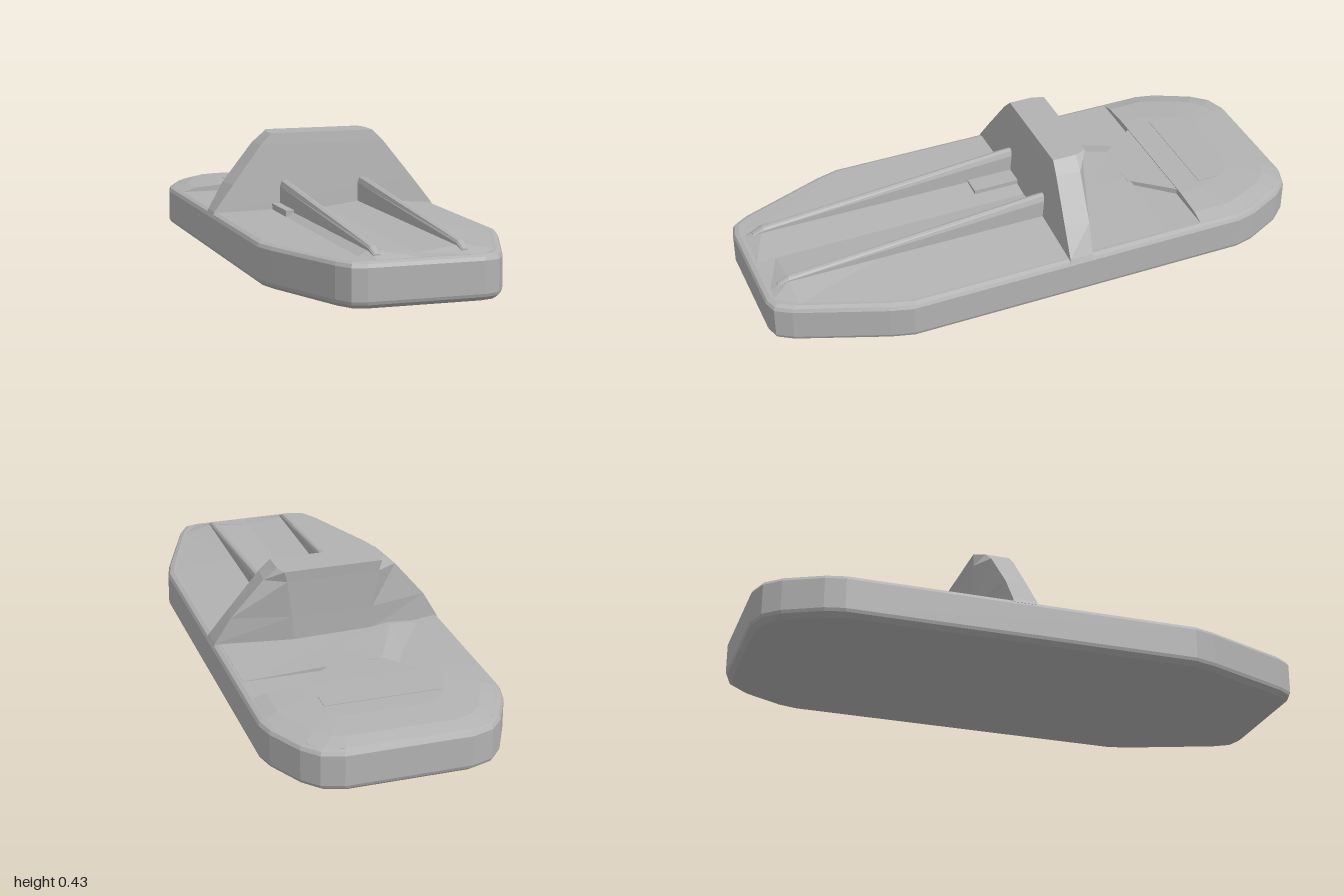
import * as THREE from 'three';

const grey = new THREE.MeshStandardMaterial({ color: 0xb2b2b2, side: THREE.DoubleSide });
grey.name = 'plain grey';

function facets(tris, name) {
  const geo = new THREE.BufferGeometry();
  geo.setAttribute('position', new THREE.Float32BufferAttribute(tris.flat(), 3));
  geo.computeVertexNormals();
  const mesh = new THREE.Mesh(geo, grey);
  mesh.name = name;
  return mesh;
}

// Closed solid through rings of [x, y, z], bottom ring first
function loft(rings, name) {
  const tris = [];
  const n = rings[0].length;
  const mid = r => [0, 1, 2].map(k => r.reduce((s, p) => s + p[k], 0) / n);
  const top = rings[rings.length - 1];
  for (let i = 0; i < n; i++) {
    const j = (i + 1) % n;
    for (let k = 0; k + 1 < rings.length; k++) {
      const a = rings[k], b = rings[k + 1];
      tris.push(a[i], a[j], b[j], a[i], b[j], b[i]);
    }
    tris.push(mid(rings[0]), rings[0][j], rings[0][i], mid(top), top[i], top[j]);
  }
  return facets(tris, name);
}

// Open surface across rows of points
function sheet(rows, name) {
  const tris = [];
  for (let r = 0; r + 1 < rows.length; r++) {
    for (let i = 0; i + 1 < rows[r].length; i++) {
      const a = rows[r][i], b = rows[r][i + 1], c = rows[r + 1][i + 1], d = rows[r + 1][i];
      tris.push(a, d, c, a, c, b);
    }
  }
  return facets(tris, name);
}

// Mirrors a half outline of [x, z], running front to back on +x
const mirror = half => [...half, ...half.map(([x, z]) => [-x, z]).reverse()];

export function createModel() {
  const model = new THREE.Group();
  model.name = 'model';

  // Hull with bevelled top and bottom edges
  const outline = mirror([[0.2, 1], [0.25, 0.985], [0.285, 0.93], [0.405, 0.62], [0.427, 0.54],
    [0.427, -0.72], [0.41, -0.79], [0.345, -0.92], [0.295, -0.975], [0.22, -1]]);
  const hullRing = (y, d) => outline.map(([x, z]) => [x * (1 - d / 0.427), y, z * (1 - d)]);
  model.add(loft([hullRing(0, 0.022), hullRing(0.014, 0.004), hullRing(0.025, 0),
    hullRing(0.133, 0), hullRing(0.145, 0.006), hullRing(0.151, 0.02)], 'hull'));

  // Front deck: a shallow valley between the rails, sloping out to the sides
  const deckRow = (z, w, lift) => [[-w, 0], [-0.2, 0.003], [-0.16, 0.02], [0, 0.003], [0.16, 0.022], [w, 0]]
    .map(([x, h]) => [x, 0.1505 + h * lift, z]);
  model.add(sheet([deckRow(-0.06, 0.405, 1), deckRow(0.55, 0.4, 1), deckRow(0.9, 0.27, 1),
    deckRow(0.97, 0.21, 0)], 'frontDeck'));

  // Rear crown, highest at z = -0.7
  const crown = mirror([[0.405, -0.57], [0.405, -0.72], [0.385, -0.78], [0.325, -0.91],
    [0.275, -0.96], [0.21, -0.98]]);
  const crownRing = (y, s) => crown.map(([x, z]) => [x * s, y, -0.57 + (z + 0.57) * s]);
  model.add(loft([crownRing(0.14, 1), crownRing(0.151, 1), crownRing(0.166, 0.88),
    crownRing(0.175, 0.6)], 'rearCrown'));
  const plate = new THREE.Mesh(new THREE.BoxGeometry(0.41, 0.006, 0.07), grey);
  plate.name = 'crownPlate';
  plate.position.set(0, 0.174, -0.7);
  model.add(plate);

  // Raised middle deck behind the wall, with a tongue back to the crown
  const middle = [[0.4, 0.152, -0.12], [0.4, 0.152, -0.44], [0.09, 0.165, -0.44],
    [-0.1, 0.168, -0.44], [-0.22, 0.168, -0.19], [-0.2, 0.166, -0.12]];
  const foot = middle.map(([x, , z]) => [x, 0.14, z]);
  foot[3] = [-0.18, 0.14, -0.51];
  foot[4] = [-0.4, 0.14, -0.16];
  foot[5] = [-0.4, 0.14, -0.12];
  model.add(loft([foot, middle], 'middleDeck'));
  const tongue = [[0.09, -0.43], [0.22, -0.575], [-0.2, -0.575], [-0.1, -0.43]];
  model.add(loft([tongue.map(([x, z]) => [x, 0.14, z]),
    tongue.map(([x, z]) => [x, z < -0.5 ? 0.172 : 0.166, z])], 'deckTongue'));

  // Upright wall, thick in the middle and thin at its ends
  const wallRing = (y, front, side, back, zFront, zSide, zBack) =>
    mirror([[front, zFront], [side, zSide], [back, zBack]]).map(([x, z]) => [x, y, z]);
  model.add(loft([
    wallRing(0.14, 0.425, 0.425, 0.14, -0.047, -0.135, -0.19),
    wallRing(0.155, 0.418, 0.418, 0.14, -0.049, -0.135, -0.19),
    wallRing(0.25, 0.345, 0.362, 0.15, -0.058, -0.145, -0.195),
    wallRing(0.39, 0.235, 0.245, 0.17, -0.072, -0.16, -0.203),
    wallRing(0.43, 0.195, 0.195, 0.18, -0.077, -0.165, -0.207),
  ], 'wall'));

  // Tapering rails with rounded tops, falling towards the front
  const section = [[-0.02, 0], [-0.019, 0.8], [-0.012, 0.96], [0, 1], [0.012, 0.96], [0.019, 0.8], [0.02, 0]];
  for (const x of [-0.15, 0.15]) {
    const ring = (z, top, w) => section.map(([sx, h]) => [x + sx * w, 0.14 + (top - 0.14) * h, z]);
    model.add(loft([ring(-0.1, 0.262, 1), ring(-0.02, 0.258, 1), ring(0.9, 0.185, 0.8),
      ring(0.94, 0.165, 0.6)], x > 0 ? 'leftRail' : 'rightRail'));
  }

  // Small block beside the right rail
  const block = new THREE.Mesh(new THREE.BoxGeometry(0.14, 0.04, 0.18), grey);
  block.name = 'railBlock';
  block.position.set(-0.13, 0.156, 0.03);
  model.add(block);

  return model;
}
